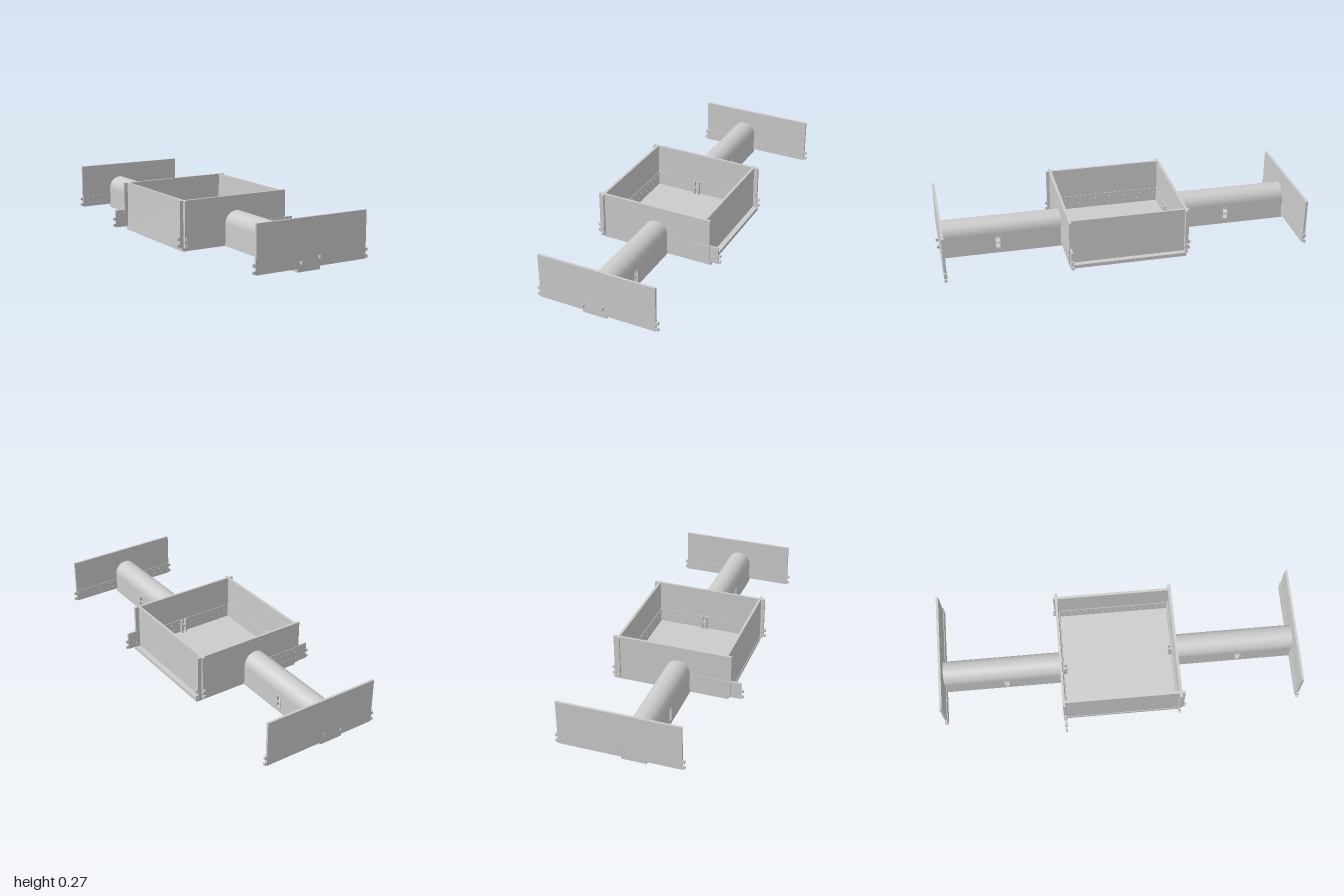
import * as THREE from 'three';
import { toCreasedNormals } from 'three/addons/utils/BufferGeometryUtils.js';

const material = new THREE.MeshStandardMaterial({ color: 0xcccccc });

function add(parent, name, geometry) {
  const mesh = new THREE.Mesh(geometry, material);
  mesh.name = name;
  parent.add(mesh);
  return mesh;
}

// Box given by its lower and upper corner
function block(parent, name, x0, x1, y0, y1, z0, z1) {
  const mesh = add(parent, name, new THREE.BoxGeometry(x1 - x0, y1 - y0, z1 - z0));
  mesh.position.set((x0 + x1) / 2, (y0 + y1) / 2, (z0 + z1) / 2);
  return mesh;
}

function rectangle(Type, x0, x1, y0, y1) {
  return new Type([[x0, y0], [x1, y0], [x1, y1], [x0, y1]].map(p => new THREE.Vector2(...p)));
}

// Slotted strip in the xy plane, with its back at z = 0
function slottedStrip(parent, name, x0, x1, height) {
  const shape = rectangle(THREE.Shape, x0, x1, 0.02, 0.02 + height);
  const count = Math.round((x1 - x0) / 0.045);
  const step = (x1 - x0) / count;
  [0.35, 0.75].forEach((f, row) => {
    for (let i = 0; i < count; i++) {
      const x = x0 + (i + 0.35 + 0.3 * row) * step;
      const y = 0.02 + f * height;
      shape.holes.push(rectangle(THREE.Path, x - 0.006, x + 0.006, y - 0.003, y + 0.003));
    }
  });
  return add(parent, name, new THREE.ExtrudeGeometry(shape, { depth: 0.003, bevelEnabled: false }));
}

// Pair of joining tabs past the end of a wall running along x
function endTabs(parent, x, direction, z0, z1) {
  for (const y of [0.025, 0.06]) {
    block(parent, 'joiningTab', Math.min(x, x + direction * 0.014), Math.max(x, x + direction * 0.014),
      y, y + 0.015, z0, z1);
  }
}

// Arched passage with a window in each side
function passage(name, x0, x1, z0, z1, windowZ) {
  const group = new THREE.Group();
  group.name = name;
  const r = (x1 - x0) / 2, cx = (x0 + x1) / 2, spring = 0.19 - r, t = 0.008;

  const vault = new THREE.Shape();
  vault.absarc(0, 0, r, 0, Math.PI, false);
  vault.absarc(0, 0, r - t, Math.PI, 0, true);
  vault.closePath();
  const vaultGeometry = new THREE.ExtrudeGeometry(vault, { depth: z1 - z0, bevelEnabled: false, curveSegments: 20 });
  add(group, 'vault', toCreasedNormals(vaultGeometry, 0.5)).position.set(cx, spring, z0);

  const side = rectangle(THREE.Shape, -z1, -z0, 0.02, spring);
  side.holes.push(rectangle(THREE.Path, -windowZ - 0.016, -windowZ + 0.016, 0.03, 0.095));
  for (const x of [x0, x1 - t]) {
    const wall = add(group, 'sideWall', new THREE.ExtrudeGeometry(side, { depth: t, bevelEnabled: false }));
    wall.rotation.y = Math.PI / 2;
    wall.position.x = x;
    // Window frame
    const a = x - 0.003, b = x + t + 0.003;
    for (const s of [-1, 1]) {
      const z = windowZ + s * 0.016;
      block(group, 'windowJamb', a, b, 0.026, 0.1, z - 0.003, z + 0.003);
    }
    for (const y of [0.03, 0.062, 0.097]) {
      block(group, 'windowRail', a, b, y - 0.003, y + 0.003, windowZ - 0.016, windowZ + 0.016);
    }
  }
  return group;
}

// Broad panel closing the far end of a passage; face is +1 at the front, -1 at the back
function endPanel(name, x0, x1, z0, z1, face, pins) {
  const group = new THREE.Group();
  group.name = name;
  block(group, 'panel', x0, x1, 0.02, 0.272, z0, z1);
  const strip = slottedStrip(group, 'innerStrip', x0, x1, 0.065);
  strip.position.z = face > 0 ? z0 - 0.003 : z1;
  endTabs(group, x0, -1, z0, z1);
  endTabs(group, x1, 1, z0, z1);
  const outer = face > 0 ? z1 : -1;
  for (const [x, y] of pins) {
    block(group, 'pin', x - 0.003, x + 0.003, y, y + 0.015, outer, face > 0 ? 1 : z0);
  }
  return group;
}

export function createModel() {
  const model = new THREE.Group();
  model.name = 'chamberWithPassages';

  // Floor slabs
  block(model, 'chamberFloor', -0.313, 0.342, 0, 0.02, -0.325, 0.315);
  block(model, 'frontPassageFloor', -0.05, 0.085, 0, 0.02, 0.315, 0.978);
  block(model, 'backPassageFloor', -0.1, 0.035, 0, 0.02, -0.985, -0.325);

  // Open central chamber
  const chamber = new THREE.Group();
  chamber.name = 'chamber';
  model.add(chamber);
  block(chamber, 'frontWall', -0.33, 0.335, 0.02, 0.272, 0.305, 0.319);
  block(chamber, 'backWall', -0.33, 0.335, 0.02, 0.272, -0.332, -0.318);
  block(chamber, 'leftWall', 0.299, 0.313, 0.02, 0.272, -0.318, 0.305);
  block(chamber, 'rightWall', -0.31, -0.296, 0.02, 0.272, -0.318, 0.305);

  // Ends of the side walls standing past the front and back walls
  block(chamber, 'rightWallEnd', -0.31, -0.296, 0.02, 0.272, 0.319, 0.336);
  block(chamber, 'leftWallEnd', 0.299, 0.313, 0.02, 0.272, -0.343, -0.332);
  for (const y of [0.025, 0.06]) {
    block(chamber, 'joiningTab', -0.308, -0.298, y, y + 0.015, 0.336, 0.348);
    block(chamber, 'joiningTab', 0.301, 0.311, y, y + 0.015, -0.354, -0.343);
  }

  // Low wing at one end of the front and back walls
  block(chamber, 'frontWing', 0.335, 0.386, 0.02, 0.118, 0.307, 0.317);
  block(chamber, 'backWing', -0.386, -0.335, 0.02, 0.118, -0.33, -0.32);
  block(chamber, 'backWingRoot', -0.335, -0.33, 0.02, 0.118, -0.33, -0.32);
  endTabs(chamber, 0.386, 1, 0.307, 0.317);
  endTabs(chamber, -0.386, -1, -0.33, -0.32);
  endTabs(chamber, -0.33, -1, 0.307, 0.317);
  endTabs(chamber, 0.335, 1, -0.33, -0.32);

  // Slotted strips around the foot of the walls
  slottedStrip(chamber, 'backInnerStrip', -0.296, 0.299, 0.08).position.z = -0.318;
  slottedStrip(chamber, 'frontInnerStrip', -0.296, 0.299, 0.08).position.z = 0.302;
  slottedStrip(chamber, 'frontOuterStrip', 0.085, 0.335, 0.098).position.z = 0.319;
  slottedStrip(chamber, 'backOuterStrip', -0.33, -0.1, 0.098).position.z = -0.335;
  for (const x of [-0.296, 0.296]) {
    const strip = slottedStrip(chamber, 'sideInnerStrip', -0.305, 0.318, 0.08);
    strip.rotation.y = Math.PI / 2;
    strip.position.x = x;
  }

  // Small upright catches on the inner walls
  for (const [x, z, s] of [[-0.04, -0.315, 1], [0.025, 0.302, -1]]) {
    for (const side of [-1, 1]) {
      block(chamber, 'catchPost', x + side * 0.013 - 0.004, x + side * 0.013 + 0.004, 0.02, 0.1,
        Math.min(z, z + s * 0.018), Math.max(z, z + s * 0.018));
    }
    block(chamber, 'catchBar', x - 0.013, x + 0.013, 0.055, 0.068,
      Math.min(z, z + s * 0.014), Math.max(z, z + s * 0.014));
  }

  // Passages and their end panels
  model.add(passage('frontPassage', -0.05, 0.085, 0.319, 0.972, 0.67));
  model.add(passage('backPassage', -0.1, 0.035, -0.981, -0.332, -0.64));
  model.add(endPanel('frontEndPanel', -0.295, 0.363, 0.972, 0.985, 1, [[-0.037, 0.043], [0.073, 0.06]]));
  model.add(endPanel('backEndPanel', -0.288, 0.372, -0.994, -0.981, -1, [[-0.085, 0.043], [0.025, 0.06]]));
  return model;
}
